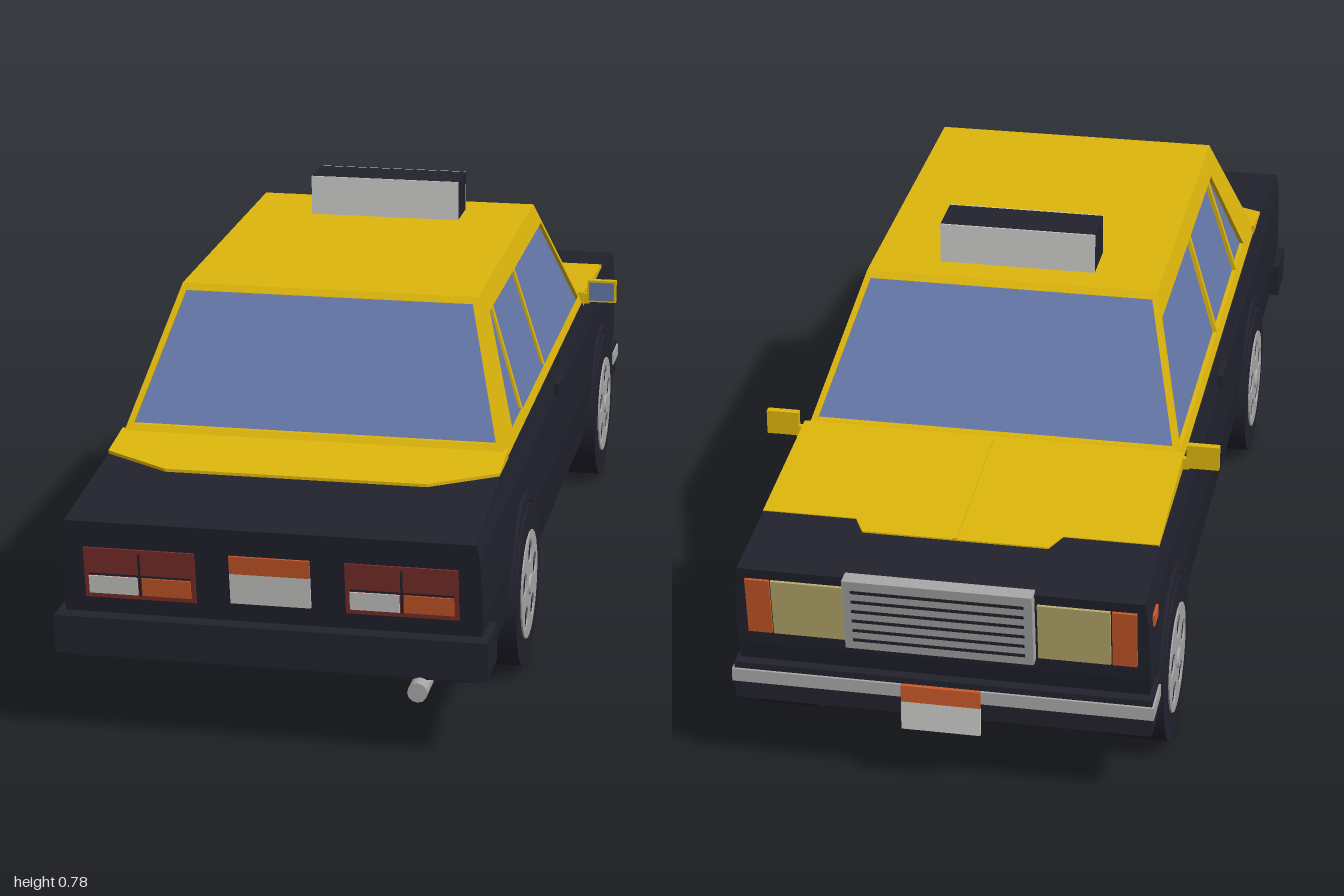
import * as THREE from 'three';

const mat = (name, color) => {
  const m = new THREE.MeshStandardMaterial({ color });
  m.name = name;
  return m;
};

export function createModel() {
  const car = new THREE.Group();
  car.name = 'taxi';
  const black = mat('black paint', 0x22222e), yellow = mat('yellow paint', 0xdeb60c);
  const blue = mat('window glass', 0x6678aa), chrome = mat('chrome', 0xa8a8a8);
  const white = mat('light grey', 0xcfcfcd), red = mat('tail lamp red', 0x7c302c);
  const orange = mat('signal orange', 0xcc5a28), cream = mat('headlamp cream', 0xbcae70);

  const add = (name, geo, material, parent = car) => {
    const m = new THREE.Mesh(geo, material);
    m.name = name;
    parent.add(m);
    return m;
  };
  const box = (name, material, x0, x1, y0, y1, z0, z1) =>
    add(name, new THREE.BoxGeometry(x1 - x0, y1 - y0, z1 - z0), material)
      .position.set((x0 + x1) / 2, (y0 + y1) / 2, (z0 + z1) / 2);

  // Stacked four-cornered rings: [half width, rear z, rear y, front z, front y]
  const loft = (rings) => {
    const pos = [];
    const loops = rings.map(([w, zr, yr, zf, yf]) => [[w, yr, zr], [w, yf, zf], [-w, yf, zf], [-w, yr, zr]]);
    const quad = (a, b, c, d) => pos.push(...a, ...b, ...c, ...a, ...c, ...d);
    for (let i = 0; i + 1 < loops.length; i++) {
      for (let j = 0; j < 4; j++) {
        const k = (j + 1) % 4;
        quad(loops[i][j], loops[i][k], loops[i + 1][k], loops[i + 1][j]);
      }
    }
    const top = loops[loops.length - 1];
    quad(...top);
    quad(...[...loops[0]].reverse());
    const g = new THREE.BufferGeometry();
    g.setAttribute('position', new THREE.Float32BufferAttribute(pos, 3));
    g.computeVertexNormals();
    return g;
  };

  // Extruded outline with holes, every vertex moved by a rule
  const plate = (pts, holes, depth, rule) => {
    const v = (list) => list.map(([a, b]) => new THREE.Vector2(a, b));
    const shape = new THREE.Shape(v(pts));
    holes.forEach((h) => shape.holes.push(new THREE.Path(v(h))));
    const g = new THREE.ExtrudeGeometry(shape, { depth, bevelEnabled: false });
    const p = g.attributes.position;
    for (let i = 0; i < p.count; i++) p.setXYZ(i, ...rule(p.getX(i), p.getY(i), p.getZ(i)));
    g.computeVertexNormals();
    return g;
  };

  // Lower body
  add('body', loft([
    [0.365, 0.955, 0.14, -0.925, 0.14],
    [0.376, 0.973, 0.26, -0.948, 0.26],
    [0.372, 0.992, 0.38, -0.964, 0.38],
    [0.366, 0.997, 0.41, -0.971, 0.425],
    [0.362, 0.70, 0.44, -0.79, 0.443],
  ]), black);

  // Yellow hood and rear deck, wedge shaped
  const mirrorX = (half) => [...half, ...half.map(([x, z]) => [-x, z]).reverse()];
  const deckPlate = (name, half, topY) =>
    add(name, plate(mirrorX(half).map(([x, z]) => [x, -z]), [], 1,
      (a, b, d) => [a, d > 0.5 ? topY(-b) : 0.425, -b]), yellow);
  const hoodY = (z) => 0.465 + (z + 0.48) * 0.066;
  deckPlate('hood', [[0.363, -0.47], [0.363, -0.79], [0.19, -0.79], [0.17, -0.83]], hoodY);
  deckPlate('hoodRidge', [[0.004, -0.48], [0.004, -0.83]], (z) => hoodY(z) + 0.003);
  deckPlate('rearDeck', [[0.362, 0.60], [0.362, 0.705], [0.24, 0.77]], (z) => 0.455 - (z - 0.62) * 0.11);

  // Cabin: glass core inside a yellow frame
  const base = 0.437, roofY = 0.70, T = 0.012;
  const cabW = (y) => 0.361 - (y - base) * 0.308;
  const cabRear = (y) => 0.625 - (y - base) * 0.665;
  const cabFront = (y) => -0.485 + (y - base) * 0.78;
  add('windowGlass', loft([base, 0.695].map((y) =>
    [cabW(y) - 0.008, cabRear(y) - 0.009, y, cabFront(y) + 0.009, y])), blue);
  box('roof', yellow, -0.28, 0.28, 0.688, roofY, cabFront(roofY), cabRear(roofY));

  const outline = [[cabRear(base), base], [cabRear(roofY), roofY], [cabFront(roofY), roofY], [cabFront(base), base]];
  const sideWindows = [
    [[0.49, 0.465], [0.388, 0.657], [0.36, 0.657], [0.373, 0.465]],
    [[0.36, 0.462], [0.347, 0.657], [0.085, 0.657], [0.072, 0.462]],
    [[0.058, 0.462], [0.072, 0.657], [-0.30, 0.657], [-0.452, 0.462]],
  ];
  for (const s of [1, -1]) {
    const flip = (pts) => pts.map(([z, y]) => [-s * z, y]);
    add(s > 0 ? 'leftWindowFrame' : 'rightWindowFrame', plate(flip(outline), sideWindows.map(flip), T,
      (a, y, d) => [s * (cabW(y) - T + d), y, -s * a]), yellow);
    // Rear window frame (s = 1) and windshield frame (s = -1)
    const trap = (y0, y1, inset) => [[-cabW(y0) + inset, y0], [cabW(y0) - inset, y0],
      [cabW(y1) - inset, y1], [-cabW(y1) + inset, y1]];
    const face = s > 0 ? cabRear : cabFront;
    add(s > 0 ? 'rearWindowFrame' : 'windshieldFrame', plate(trap(base, roofY, 0), [trap(0.467, 0.688, 0.012)], T,
      (a, y, d) => [s * a, y, face(y) + s * (d - T)]), yellow);
  }

  // Plates lying on the sloped tail (s = 1) or nose (s = -1)
  const endPlate = (name, material, s, x0, x1, y0, y1, depth) =>
    add(name, plate([[s * x0, y0], [s * x1, y0], [s * x1, y1], [s * x0, y1]], [], depth + 0.008, (a, y, d) => {
      const z = s > 0 ? 0.973 + (y - 0.26) * 0.158 : 0.948 + (y - 0.26) * 0.14;
      return [s * a, y, s * (z + d - 0.008)];
    }), material);

  // Tail lamps and rear number plate
  for (const x of [-0.334, 0.134]) {
    endPlate('tailLampHousing', red, 1, x, x + 0.2, 0.263, 0.36, 0.004);
    endPlate('tailLampDivider', black, 1, x + 0.098, x + 0.102, 0.27, 0.353, 0.006);
    endPlate('tailLampDivider', black, 1, x + 0.008, x + 0.192, 0.308, 0.311, 0.006);
    endPlate('reverseLamp', white, 1, x + 0.008, x + 0.096, 0.272, 0.306, 0.007);
    endPlate('rearSignal', orange, 1, x + 0.104, x + 0.192, 0.272, 0.306, 0.007);
  }
  endPlate('rearPlate', white, 1, -0.072, 0.072, 0.268, 0.326, 0.005);
  endPlate('rearPlateTop', orange, 1, -0.072, 0.072, 0.326, 0.36, 0.005);

  // Grille, headlamps and front signals
  endPlate('grille', chrome, -1, -0.17, 0.17, 0.285, 0.432, 0.024);
  for (let i = 0; i < 6; i++) {
    const y = 0.302 + i * 0.021;
    endPlate('grilleSlot', black, -1, -0.155, 0.155, y, y + 0.006, 0.0255);
  }
  for (const s of [1, -1]) {
    const span = (a, b) => (s > 0 ? [a, b] : [-b, -a]);
    endPlate('headlamp', cream, -1, ...span(0.175, 0.305), 0.29, 0.405, 0.006);
    endPlate('frontSignal', orange, -1, ...span(0.308, 0.352), 0.29, 0.405, 0.006);
    box('sideMarker', orange, ...span(0.365, 0.377), 0.354, 0.376, -0.92, -0.88);
    box('doorHandle', black, ...span(0.365, 0.38), 0.388, 0.414, -0.04, 0.035);
    // Door mirrors, glass facing the tail
    box('mirrorHousing', yellow, ...span(0.37, 0.431), 0.444, 0.491, -0.492, -0.478);
    box('mirrorGlass', blue, ...span(0.374, 0.427), 0.448, 0.487, -0.48, -0.475);
    box('mirrorBracket', yellow, ...span(0.345, 0.375), 0.44, 0.462, -0.49, -0.479);
  }

  // Bumpers, front number plate and sills
  box('rearBumper', black, -0.388, 0.388, 0.162, 0.232, 0.89, 1.0);
  box('frontBumper', black, -0.38, 0.38, 0.152, 0.225, -0.962, -0.88);
  box('frontBumperStrip', chrome, -0.384, 0.384, 0.188, 0.213, -0.967, -0.882);
  box('frontPlate', white, -0.072, 0.072, 0.125, 0.182, -0.973, -0.965);
  box('frontPlateTop', orange, -0.072, 0.072, 0.182, 0.215, -0.973, -0.965);

  // Exhaust pipe
  const pipe = add('exhaustPipe', new THREE.CylinderGeometry(0.018, 0.018, 0.15, 12).rotateX(Math.PI / 2), chrome);
  pipe.position.set(0.262, 0.126, 0.91);

  // Roof sign with light faces fore and aft
  box('roofSign', black, -0.15, 0.15, roofY, 0.778, -0.213, -0.122);
  box('roofSignFace', white, -0.15, 0.15, roofY, 0.778, -0.122, -0.119);
  box('roofSignFace', white, -0.15, 0.15, roofY, 0.778, -0.216, -0.213);

  // Wheels with five-hole rims, and arch flares
  const rimShape = new THREE.Shape().absarc(0, 0, 0.103, 0, Math.PI * 2);
  for (let i = 0; i < 5; i++) {
    const a = Math.PI / 2 + (i * Math.PI * 2) / 5;
    rimShape.holes.push(new THREE.Path().absarc(Math.cos(a) * 0.066, Math.sin(a) * 0.066, 0.022, 0, Math.PI * 2, true));
  }
  const archShape = new THREE.Shape().absarc(0, 0, 0.178, 0, Math.PI);
  archShape.absarc(0, 0, 0.158, Math.PI, 0, true);
  const extrude = (shape, depth) => new THREE.ExtrudeGeometry(shape, { depth, bevelEnabled: false, curveSegments: 10 });
  for (const z of [0.48, -0.69]) {
    for (const s of [1, -1]) {
      const wheel = new THREE.Group();
      wheel.name = z > 0 ? 'rearWheel' : 'frontWheel';
      wheel.position.set(0, 0.155, z);
      wheel.rotation.y = (s * Math.PI) / 2;
      car.add(wheel);
      const tyre = new THREE.CylinderGeometry(0.155, 0.155, 0.115, 24).rotateX(Math.PI / 2);
      add('tyre', tyre, black, wheel).position.z = 0.3275;
      add('rim', extrude(rimShape, 0.005), chrome, wheel).position.z = 0.383;
      add('hubCap', new THREE.CylinderGeometry(0.018, 0.022, 0.006, 12).rotateX(Math.PI / 2), chrome, wheel).position.z = 0.389;
      add('wheelArch', extrude(archShape, 0.02), black, wheel).position.z = 0.361;
    }
  }
  return car;
}
